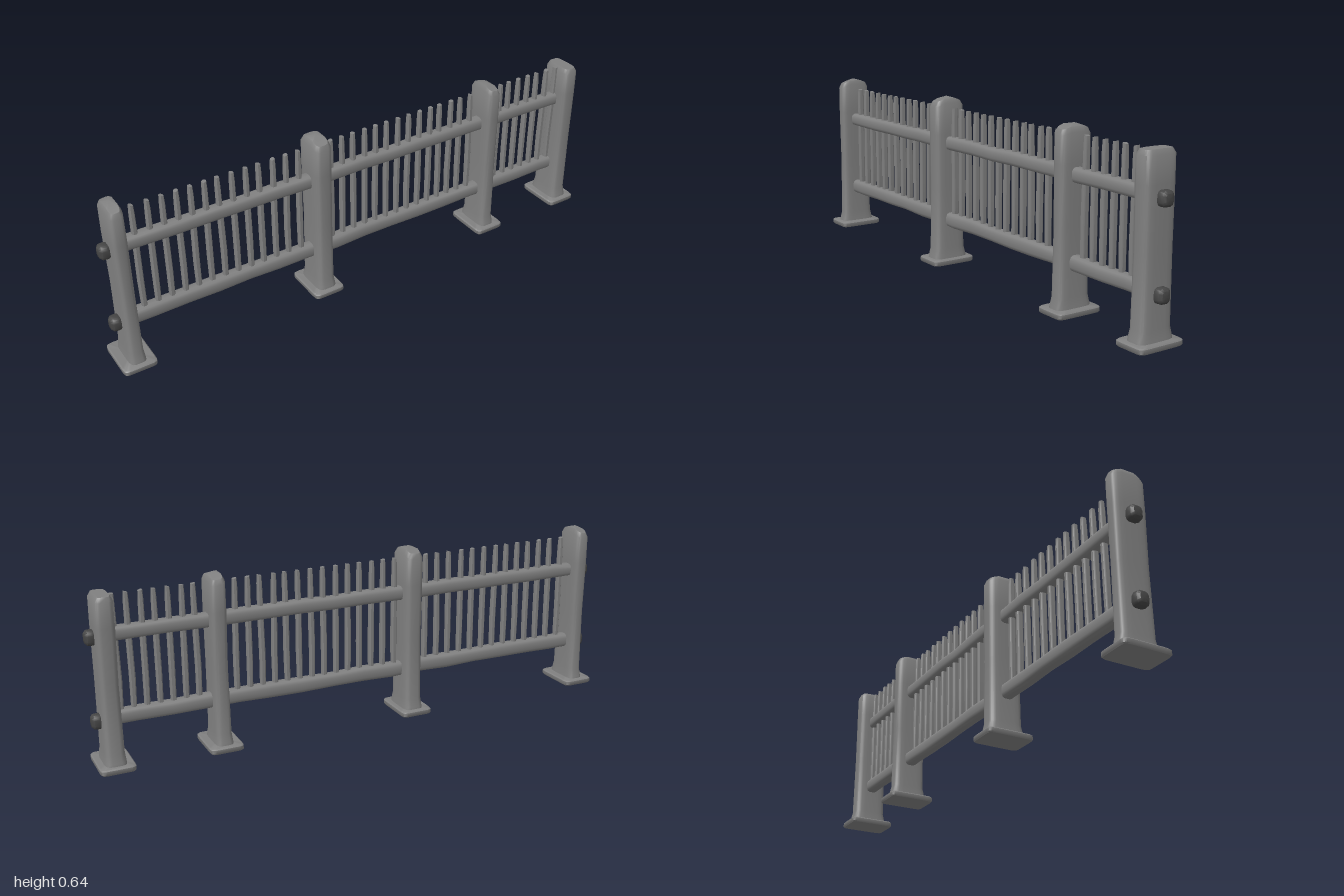
import * as THREE from 'three';
import { toCreasedNormals } from 'three/addons/utils/BufferGeometryUtils.js';

// Closed loft along y through rounded rectangles; each ring is [y, halfX, halfZ, centreX, centreZ].
function loft(rings, sides = 16, power = 0.45, top = () => 0) {
  const pos = [], idx = [];
  rings.forEach(([y, hx, hz, cx = 0, cz = 0], r) => {
    for (let i = 0; i < sides; i++) {
      const a = ((i + 0.5) / sides) * Math.PI * 2, c = Math.cos(a), s = Math.sin(a);
      const x = Math.sign(c) * Math.abs(c) ** power * hx;
      const z = Math.sign(s) * Math.abs(s) ** power * hz;
      pos.push(cx + x, y + (r >= rings.length - 2 ? top(x, z) : 0), cz + z);
    }
  });
  for (let r = 0; r < rings.length - 1; r++) {
    for (let i = 0; i < sides; i++) {
      const a = r * sides + i, b = r * sides + ((i + 1) % sides);
      idx.push(a, a + sides, b, b, a + sides, b + sides);
    }
  }
  // End caps
  [0, rings.length - 1].forEach((r) => {
    const [y, , , cx = 0, cz = 0] = rings[r], centre = pos.length / 3;
    pos.push(cx, y + (r ? top(0, 0) : 0), cz);
    for (let i = 0; i < sides; i++) {
      const a = r * sides + i, b = r * sides + ((i + 1) % sides);
      if (r) idx.push(centre, b, a);
      else idx.push(centre, a, b);
    }
  });
  const g = new THREE.BufferGeometry();
  g.setAttribute('position', new THREE.Float32BufferAttribute(pos, 3));
  g.setIndex(idx);
  return toCreasedNormals(g, 0.75);
}

export function createModel() {
  const stone = new THREE.MeshStandardMaterial({ color: 0x808080 });
  stone.name = 'weathered grey';
  const dark = new THREE.MeshStandardMaterial({ color: 0x464646 });
  dark.name = 'dark end grain';

  const fence = new THREE.Group();
  fence.name = 'fence';
  const add = (name, geometry, material, x = 0, y = 0, z = 0) => {
    const m = new THREE.Mesh(geometry, material);
    m.name = name;
    m.position.set(x, y, z);
    fence.add(m);
    return m;
  };

  let seed = 7;
  const jitter = (amount) => {
    seed = (seed * 16807) % 2147483647;
    return (seed / 2147483647 - 0.5) * 2 * amount;
  };

  // Posts with flared feet and uneven ridged tops, each on a square plate
  const posts = [
    { x: -0.939, w: 0.027, h: 0.64, plate: -0.94, slope: 0.1, ridge: 0.38 },
    { x: -0.192, w: 0.035, h: 0.64, plate: -0.195, slope: 0.05, ridge: 0.38 },
    { x: 0.555, w: 0.029, h: 0.63, plate: 0.555, slope: -0.15, ridge: 0.3 },
    { x: 0.936, w: 0.034, h: 0.604, plate: 0.935, slope: 0, ridge: 0.03 },
  ];
  for (const p of posts) {
    const edge = p.h - 0.008;
    const post = loft([
      [0.015, p.w + 0.005, 0.071],
      [0.03, p.w + 0.003, 0.069],
      [0.06, p.w, 0.062],
      [0.3, p.w - 0.002, 0.06, 0.001],
      [0.5, p.w, 0.061],
      [edge - 0.008, p.w - 0.001, 0.061],
      [p.h, p.w * 0.7, 0.053],
    ], 20, 0.45, (x, z) => x * p.slope - Math.abs(z) * p.ridge);
    add('post', post, stone, p.x);
    add('basePlate', loft([
      [0, 0.058, 0.085],
      [0.004, 0.061, 0.088],
      [0.017, 0.061, 0.088],
      [0.021, 0.057, 0.084],
    ], 20, 0.2), stone, p.plate);
  }

  // Rails with slight bends, and darker ends poking through the outer posts
  for (const [name, y, hy] of [['upperRail', 0.465, 0.025], ['lowerRail', 0.172, 0.027]]) {
    const rings = [];
    for (let i = 0; i <= 16; i++) {
      rings.push([-0.962 + i * 0.12025, hy + jitter(0.0015), 0.024 + jitter(0.0015), jitter(0.002), jitter(0.001)]);
    }
    add(name, loft(rings, 12, 0.65), stone, 0, y).rotation.z = -Math.PI / 2;
    for (const side of [-1, 1]) {
      const end = loft([
        [0, 0.022, 0.021],
        [0.012, 0.026, 0.025],
        [0.03, 0.025, 0.023],
        [0.038, 0.017, 0.015],
      ], 12, 0.6);
      add('railEnd', end, dark, side * 0.96, y - 0.005, -0.002).rotation.z = -side * Math.PI / 2;
    }
  }

  // Thin, slightly crooked pickets between the posts
  const bays = [[-0.872, -0.265, 13], [-0.134, 0.484, 14], [0.623, 0.897, 7]];
  for (const [from, to, count] of bays) {
    for (let i = 0; i < count; i++) {
      const x = from + ((to - from) * i) / (count - 1);
      const lean = jitter(0.004), tilt = jitter(0.3);
      add('picket', loft([
        [0.17, 0.0095, 0.011],
        [0.3, 0.0105, 0.012, jitter(0.002)],
        [0.45, 0.01, 0.012, lean * 0.5],
        [0.565, 0.009, 0.011, lean],
        [0.598, 0.0075, 0.009, lean],
      ], 8, 0.7, (px) => px * tilt), stone, x);
    }
  }
  return fence;
}
